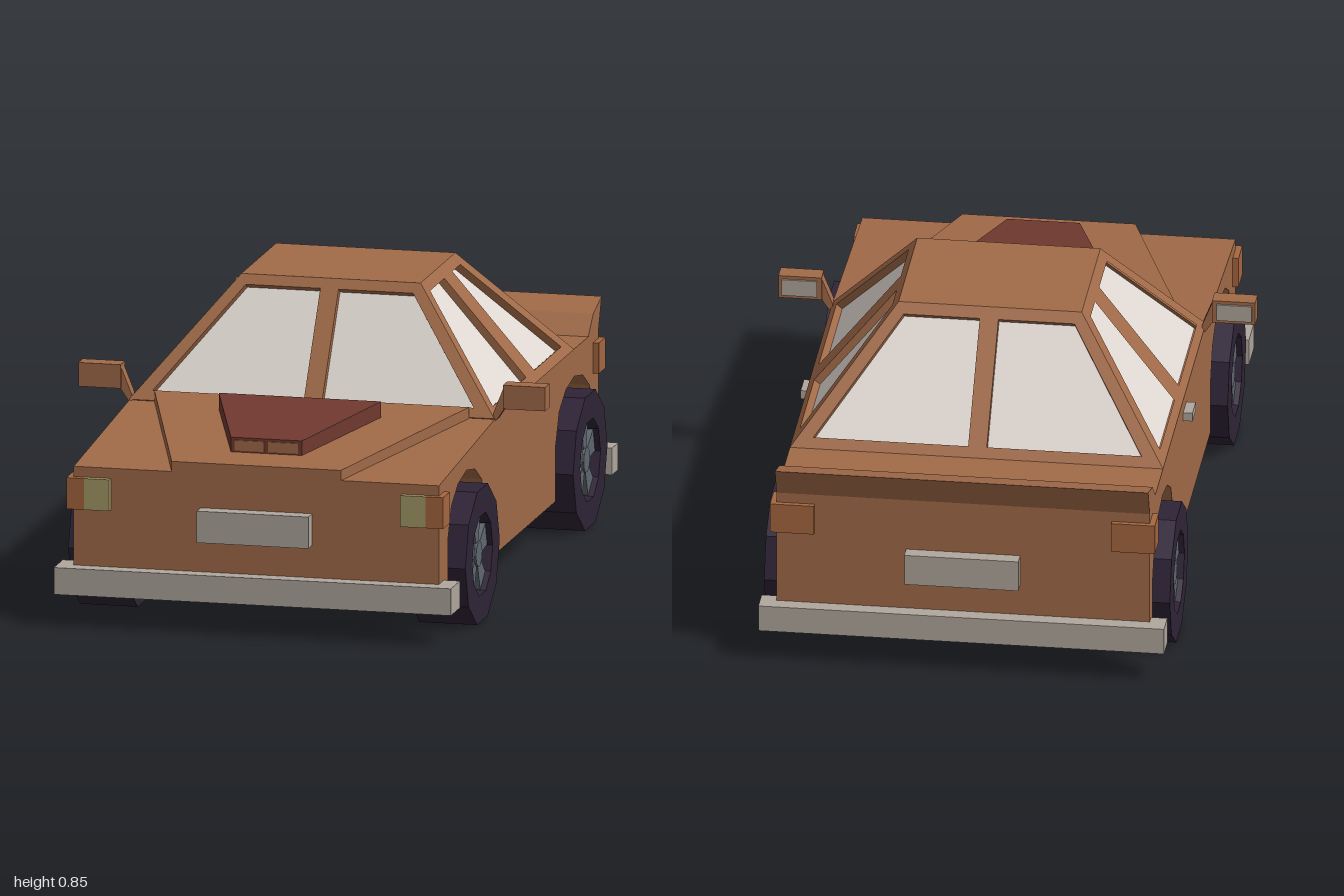
import * as THREE from 'three';

const mat = (name, color) => Object.assign(new THREE.MeshStandardMaterial({ color }), { name });

export function createModel() {
  const car = new THREE.Group();
  car.name = 'car';
  const paint = mat('copper paint', 0xa16a48);
  const glass = mat('pale glass', 0xe0d8d2);
  const metal = mat('light grey metal', 0xb0a79d);
  const rubber = mat('dark tyre', 0x2e2336);
  const alloy = mat('slate alloy', 0x5e676f);
  const maroon = mat('maroon scoop', 0x70392f);
  const lamp = mat('yellow lamp', 0xa59a66);
  const amber = mat('amber lamp', 0xa5673f);

  const add = (name, geo, material, parent = car) => {
    const mesh = new THREE.Mesh(geo, material);
    mesh.name = name;
    parent.add(mesh);
    return mesh;
  };
  // Box given by its limits on each axis
  const box = (name, material, [x0, x1], [y0, y1], [z0, z1], parent) =>
    add(name, new THREE.BoxGeometry(x1 - x0, y1 - y0, z1 - z0)
      .translate((x0 + x1) / 2, (y0 + y1) / 2, (z0 + z1) / 2), material, parent);
  const shapeOf = (pts) => new THREE.Shape(pts.map(([x, y]) => new THREE.Vector2(x, y)));
  // Side profile in (z, y), swept from x0 to x1
  const sweepX = (pts, x0, x1) =>
    new THREE.ExtrudeGeometry(shapeOf(pts), { depth: x1 - x0, bevelEnabled: false })
      .rotateY(-Math.PI / 2).translate(x1, 0, 0);
  // Tapered block: each end is { z, halfWidth, bottom, top }
  const wedge = (name, material, front, back) => {
    const geo = new THREE.BoxGeometry(2, 2, 2);
    const p = geo.attributes.position;
    for (let i = 0; i < p.count; i++) {
      const e = p.getZ(i) > 0 ? front : back;
      p.setXYZ(i, p.getX(i) * e.halfWidth, p.getY(i) > 0 ? e.top : e.bottom, e.z);
    }
    geo.computeVertexNormals();
    return add(name, geo, material);
  };

  // Body: solid centre and two flanks with wheel arches
  const axles = [-0.665, 0.62];
  const upper = [[0.95, 0.12], [0.95, 0.465], [0.25, 0.52], [-0.83, 0.52], [-0.89, 0.575],
    [-0.99, 0.605], [-0.955, 0.52], [-0.955, 0.12]];
  const arch = [[-0.225, 0.12], [-0.225, 0.28], [-0.18, 0.375], [-0.1, 0.422], [0, 0.44],
    [0.1, 0.422], [0.18, 0.375], [0.225, 0.28], [0.225, 0.12]];
  const flank = [...upper, ...axles.flatMap((a) => arch.map(([z, y]) => [z + a, y]))];
  add('bodyCentre', sweepX(upper, -0.35, 0.35), paint);
  add('leftFlank', sweepX(flank, 0.35, 0.54), paint);
  add('rightFlank', sweepX(flank, -0.54, -0.35), paint);

  // Raised hood and scoop
  wedge('hood', paint,
    { z: 0.951, halfWidth: 0.25, bottom: 0.455, top: 0.495 },
    { z: 0.29, halfWidth: 0.465, bottom: 0.5, top: 0.55 });
  wedge('hoodScoop', maroon,
    { z: 0.83, halfWidth: 0.105, bottom: 0.5, top: 0.548 },
    { z: 0.43, halfWidth: 0.24, bottom: 0.53, top: 0.585 });
  for (const s of [-1, 1]) {
    box('scoopVent', paint, [s * 0.05 - 0.044, s * 0.05 + 0.044], [0.51, 0.54], [0.828, 0.833]);
  }

  // Cabin: four leaning frames with recessed glass
  const belt = 0.52, roofY = 0.855, rise = roofY - belt;
  const cabinSide = (name, outline, holes, pos, turn, lean) => {
    const stretch = Math.hypot(rise, lean) / rise;
    const flat = (pts) => pts.map(([u, y]) => [u, (y - belt) * stretch]);
    const side = new THREE.Group();
    side.name = name;
    side.position.set(...pos);
    side.rotation.set(-Math.atan2(lean, rise), turn, 0, 'YXZ');
    const frame = shapeOf(flat(outline));
    holes.forEach((h) => frame.holes.push(shapeOf(flat(h))));
    add(name + 'Frame', new THREE.ExtrudeGeometry(frame, { depth: 0.03, bevelEnabled: false })
      .translate(0, 0, -0.03), paint, side);
    add(name + 'Glass', new THREE.ShapeGeometry(shapeOf(flat(outline)))
      .translate(0, 0, -0.022), glass, side);
    car.add(side);
  };
  const mirrorU = (pts) => pts.map(([u, y]) => [-u, y]);
  const screen = [[-0.54, belt], [0.54, belt], [0.265, roofY], [-0.265, roofY]];
  const pane = [[0.027, 0.545], [0.475, 0.545], [0.247, 0.828], [0.027, 0.828]];
  cabinSide('windscreen', screen, [pane, mirrorU(pane)], [0, belt, 0.29], 0, 0.23);
  cabinSide('rearWindow', screen, [pane, mirrorU(pane)], [0, belt, -0.66], Math.PI, 0.305);
  const door = [[0.29, belt], [-0.66, belt], [-0.355, roofY], [0.06, roofY]];
  const panes = [
    [[0.23, 0.543], [-0.165, 0.543], [-0.135, 0.828], [0.035, 0.828]],
    [[-0.262, 0.543], [-0.583, 0.543], [-0.325, 0.828], [-0.23, 0.828]],
  ];
  cabinSide('rightWindows', door, panes, [-0.54, belt, 0], -Math.PI / 2, 0.275);
  cabinSide('leftWindows', mirrorU(door), panes.map(mirrorU), [0.54, belt, 0], Math.PI / 2, 0.275);
  box('roof', paint, [-0.265, 0.265], [0.83, roofY], [-0.355, 0.06]);

  // Bumpers and plates
  box('frontBumper', metal, [-0.587, 0.587], [0.096, 0.175], [0.89, 0.998]);
  box('rearBumper', metal, [-0.587, 0.587], [0.096, 0.175], [-0.998, -0.925]);
  box('frontPlate', metal, [-0.165, 0.165], [0.27, 0.363], [0.94, 0.996]);
  box('rearPlate', metal, [-0.165, 0.165], [0.27, 0.363], [-0.996, -0.94]);

  // Fittings on both sides
  for (const s of [-1, 1]) {
    const span = (a, b) => (s > 0 ? [a, b] : [-b, -a]);
    const side = s > 0 ? 'left' : 'right';
    box(side + 'Headlight', lamp, span(0.43, 0.505), [0.343, 0.435], [0.9, 0.97]);
    box(side + 'Indicator', amber, span(0.505, 0.557), [0.343, 0.435], [0.888, 0.97]);
    box(side + 'TailLightInner', amber, span(0.43, 0.505), [0.4, 0.49], [-0.97, -0.9]);
    box(side + 'TailLightOuter', amber, span(0.505, 0.557), [0.4, 0.49], [-0.97, -0.888]);
    box(side + 'DoorHandle', metal, span(0.53, 0.567), [0.454, 0.48], [-0.212, -0.14]);
    // Wing mirror on its bent arm
    box(side + 'Mirror', paint, span(0.565, 0.69), [0.55, 0.62], [0.237, 0.29]);
    box(side + 'MirrorGlass', metal, span(0.578, 0.68), [0.56, 0.61], [0.231, 0.237]);
    const arm = [[0.535, 0.51], [0.545, 0.515], [0.575, 0.56], [0.568, 0.618], [0.535, 0.535]];
    add(side + 'MirrorArm', new THREE.ExtrudeGeometry(shapeOf(arm.map(([x, y]) => [s * x, y])),
      { depth: 0.035, bevelEnabled: false }).translate(0, 0, 0.247), paint);
  }

  // Wheels: ten-sided tyre with a recessed five-spoke rim
  const tyreProfile = [[0, -0.085], [0.205, -0.085], [0.205, 0.085], [0.122, 0.085],
    [0.118, 0.045], [0, 0.045]].map(([r, h]) => new THREE.Vector2(r, h));
  const tyreGeo = new THREE.LatheGeometry(tyreProfile, 10).toNonIndexed().rotateZ(-Math.PI / 2);
  tyreGeo.computeVertexNormals();
  const hubGeo = new THREE.CylinderGeometry(0.038, 0.038, 0.03, 10).toNonIndexed().rotateZ(-Math.PI / 2);
  hubGeo.computeVertexNormals();
  const spokeGeo = new THREE.ExtrudeGeometry(
    shapeOf([[-0.016, 0.025], [0.016, 0.025], [0.036, 0.114], [-0.036, 0.114]]),
    { depth: 0.024, bevelEnabled: false }).rotateY(Math.PI / 2);
  for (const s of [-1, 1]) {
    for (const z of axles) {
      const wheel = new THREE.Group();
      wheel.name = (z > 0 ? 'front' : 'rear') + (s > 0 ? 'Left' : 'Right') + 'Wheel';
      wheel.position.set(s * 0.502, 0.196, z);
      wheel.rotation.y = s > 0 ? 0 : Math.PI;
      add('tyre', tyreGeo, rubber, wheel);
      add('hub', hubGeo, alloy, wheel).position.x = 0.06;
      for (let i = 0; i < 5; i++) {
        const spoke = add('spoke', spokeGeo, alloy, wheel);
        spoke.position.x = 0.045;
        spoke.rotation.x = (i * Math.PI * 2) / 5;
      }
      car.add(wheel);
    }
  }
  return car;
}
